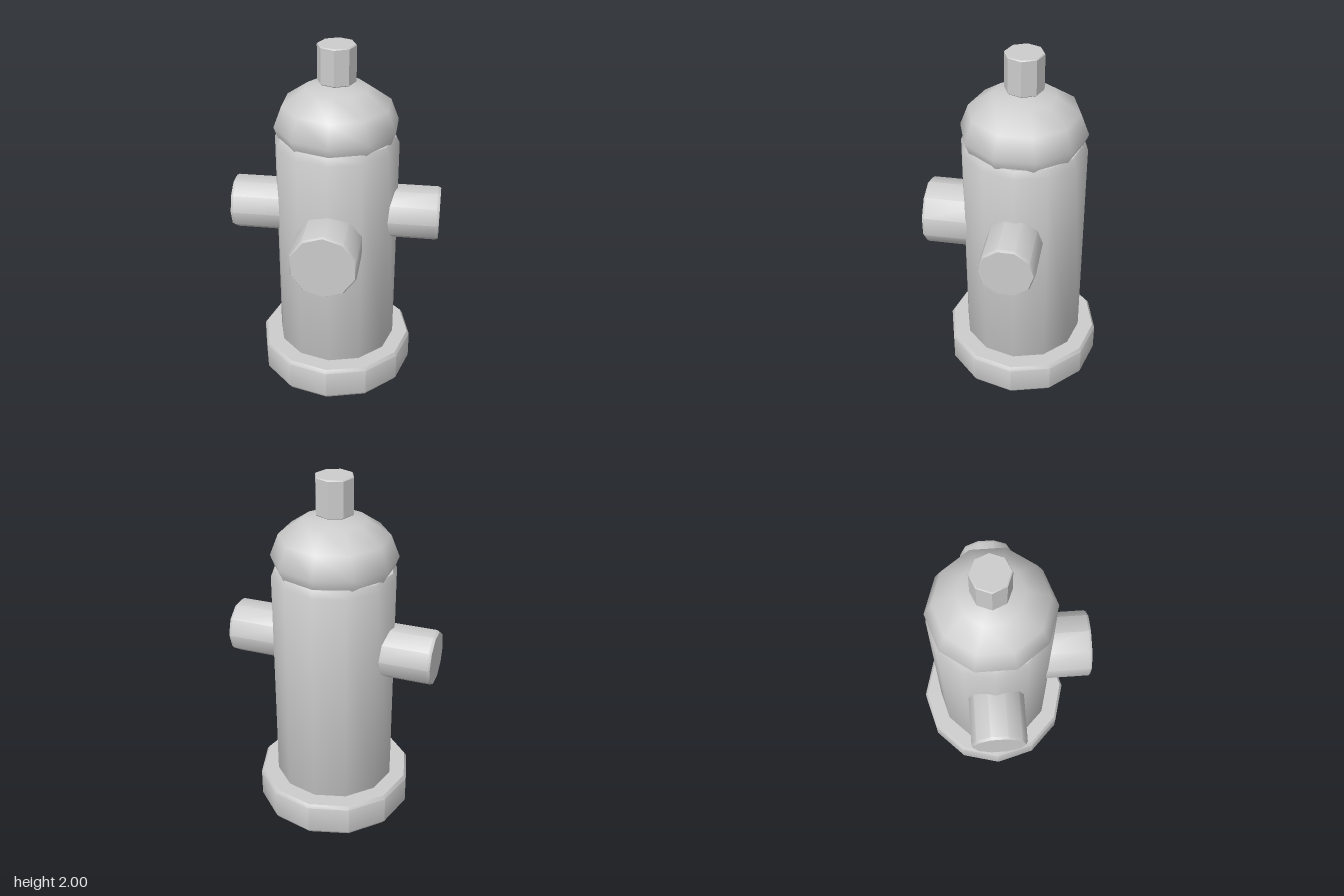
import * as THREE from 'three';
import { toCreasedNormals } from 'three/addons/utils/BufferGeometryUtils.js';

const AXIS_Z = -0.05; // the barrel stands slightly behind centre because of the front outlet

// Closed low-poly cylinder from y0 to y1 with chamfers of radial width c and height h
function chamferedCylinder(radius, y0, y1, sides, c, h = c) {
  const profile = [
    [0, y0], [radius - c, y0], [radius, y0 + h],
    [radius, y1 - h], [radius - c, y1], [0, y1],
  ].map(([x, y]) => new THREE.Vector2(x, y));
  return toCreasedNormals(new THREE.LatheGeometry(profile, sides), 0.7);
}

export function createModel() {
  const model = new THREE.Group();
  model.name = 'fireHydrant';
  const paint = new THREE.MeshStandardMaterial({ color: 0xcccccc });
  paint.name = 'grey';

  const add = (name, geometry, x, y, z) => {
    const mesh = new THREE.Mesh(geometry, paint);
    mesh.name = name;
    mesh.position.set(x, y, z);
    model.add(mesh);
  };

  // Foot flange and barrel
  add('base', chamferedCylinder(0.447, 0, 0.2, 12, 0.014, 0.02), 0, 0, AXIS_Z);
  add('barrel', chamferedCylinder(0.344, 0.15, 1.5, 12, 0.02, 0.04), 0, 0, AXIS_Z);

  // Squashed dome sunk into the barrel top
  const dome = new THREE.SphereGeometry(0.345, 10, 6);
  dome.rotateY(Math.PI / 2);
  dome.scale(1, 0.24 / 0.345, 1);
  add('dome', dome, 0, 1.555, AXIS_Z);

  // Operating nut
  add('topNut', chamferedCylinder(0.105, 1.795, 2, 8, 0.005), 0, 0, AXIS_Z);

  // Hose outlets on both sides
  for (const side of [1, -1]) {
    const outlet = chamferedCylinder(0.153, 0.2, 0.584, 10, 0.008, 0.015);
    outlet.rotateZ(-side * Math.PI / 2);
    add(side > 0 ? 'leftOutlet' : 'rightOutlet', outlet, 0, 1.04, AXIS_Z);
  }

  // Large front outlet
  const front = chamferedCylinder(0.187, 0.1, 0.497, 10, 0.008, 0.012);
  front.rotateX(Math.PI / 2);
  add('frontOutlet', front, 0, 0.97, 0);

  return model;
}
